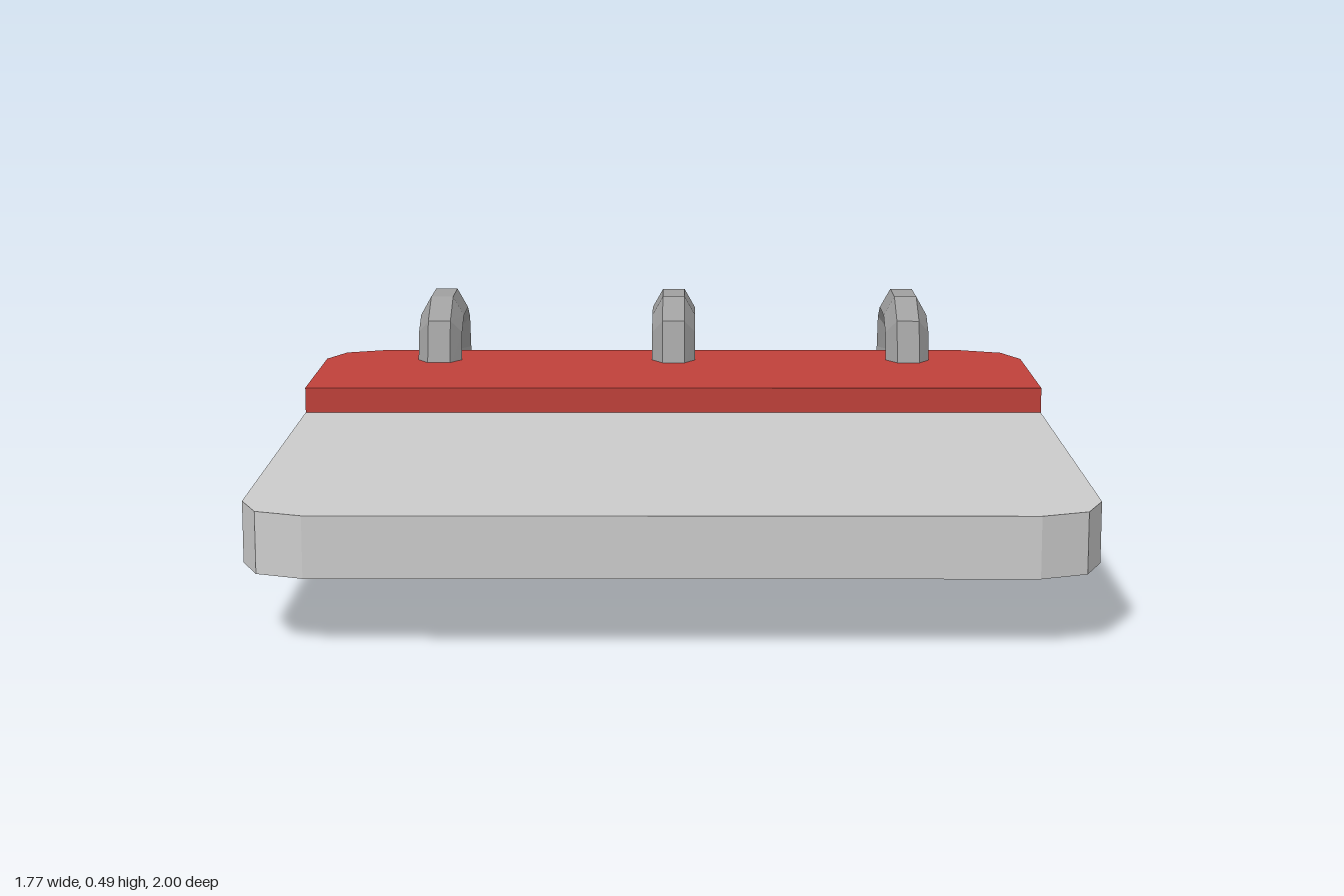
import * as THREE from 'three';

const grey = new THREE.MeshStandardMaterial({ color: 0xcccccc, flatShading: true });
const red = new THREE.MeshStandardMaterial({ color: 0xbf413a, flatShading: true });
const steel = new THREE.MeshStandardMaterial({ color: 0xa0a0a0, flatShading: true });

// Flat slab with two chamfered corners at zEnd and a straight cut at zCut
function slab(name, zCut, zEnd, y0, y1, material) {
  const s = Math.sign(zEnd - zCut);
  const half = [[0.885, zCut], [0.885, zEnd - 0.145 * s], [0.845, zEnd - 0.043 * s], [0.745, zEnd]];
  const outline = [...half, ...half.map(([x, z]) => [-x, z]).reverse()];
  const shape = new THREE.Shape(outline.map(([x, z]) => new THREE.Vector2(x, -z)));
  const geo = new THREE.ExtrudeGeometry(shape, { depth: y1 - y0, bevelEnabled: false });
  geo.rotateX(-Math.PI / 2).translate(0, y0, 0);
  const mesh = new THREE.Mesh(geo, material);
  mesh.name = name;
  return mesh;
}

// Mirrors a three-point corner into a closed 12-point loop of [z, y]
function loop(corner) {
  const back = [...corner].reverse();
  return [
    ...corner,
    ...back.map(([z, y]) => [z, -y]),
    ...corner.map(([z, y]) => [-z, -y]),
    ...back.map(([z, y]) => [-z, y]),
  ];
}

// Ring with a hexagonal section swept round a rounded square
function ringGeometry() {
  const outer = loop([[0.075, 0.245], [0.176, 0.196], [0.22, 0.078]]);
  const mid = loop([[0.074, 0.197], [0.142, 0.163], [0.172, 0.078]]);
  const inner = loop([[0.072, 0.149], [0.108, 0.13], [0.124, 0.078]]);
  const section = [[outer, 0.028], [mid, 0.055], [inner, 0.028], [inner, -0.028], [mid, -0.055], [outer, -0.028]];
  const pos = [];
  const index = [];
  const n = outer.length;
  for (let i = 0; i < n; i++) {
    section.forEach(([path, x], j) => {
      pos.push(x, path[i][1], path[i][0]);
      const k = (j + 1) % 6;
      const next = ((i + 1) % n) * 6;
      const a = i * 6 + j, b = i * 6 + k, c = next + k, d = next + j;
      index.push(a, d, b, b, d, c);
    });
  }
  const geo = new THREE.BufferGeometry();
  geo.setAttribute('position', new THREE.Float32BufferAttribute(pos, 3));
  geo.setIndex(index);
  geo.computeVertexNormals();
  return geo;
}

export function createModel() {
  const model = new THREE.Group();
  model.name = 'calendarPad';

  // Page block and the thicker binding strip
  model.add(slab('pages', -0.185, 1, 0.15, 0.28, grey));
  model.add(slab('bindingStrip', -0.185, -0.775, 0.15, 0.34, red));

  // Three binding rings through the back edge
  const ring = ringGeometry();
  [-0.595, 0, 0.595].forEach((x, i) => {
    const mesh = new THREE.Mesh(ring, steel);
    mesh.name = `bindingRing${i + 1}`;
    mesh.position.set(x, 0.245, -0.78);
    model.add(mesh);
  });
  return model;
}
